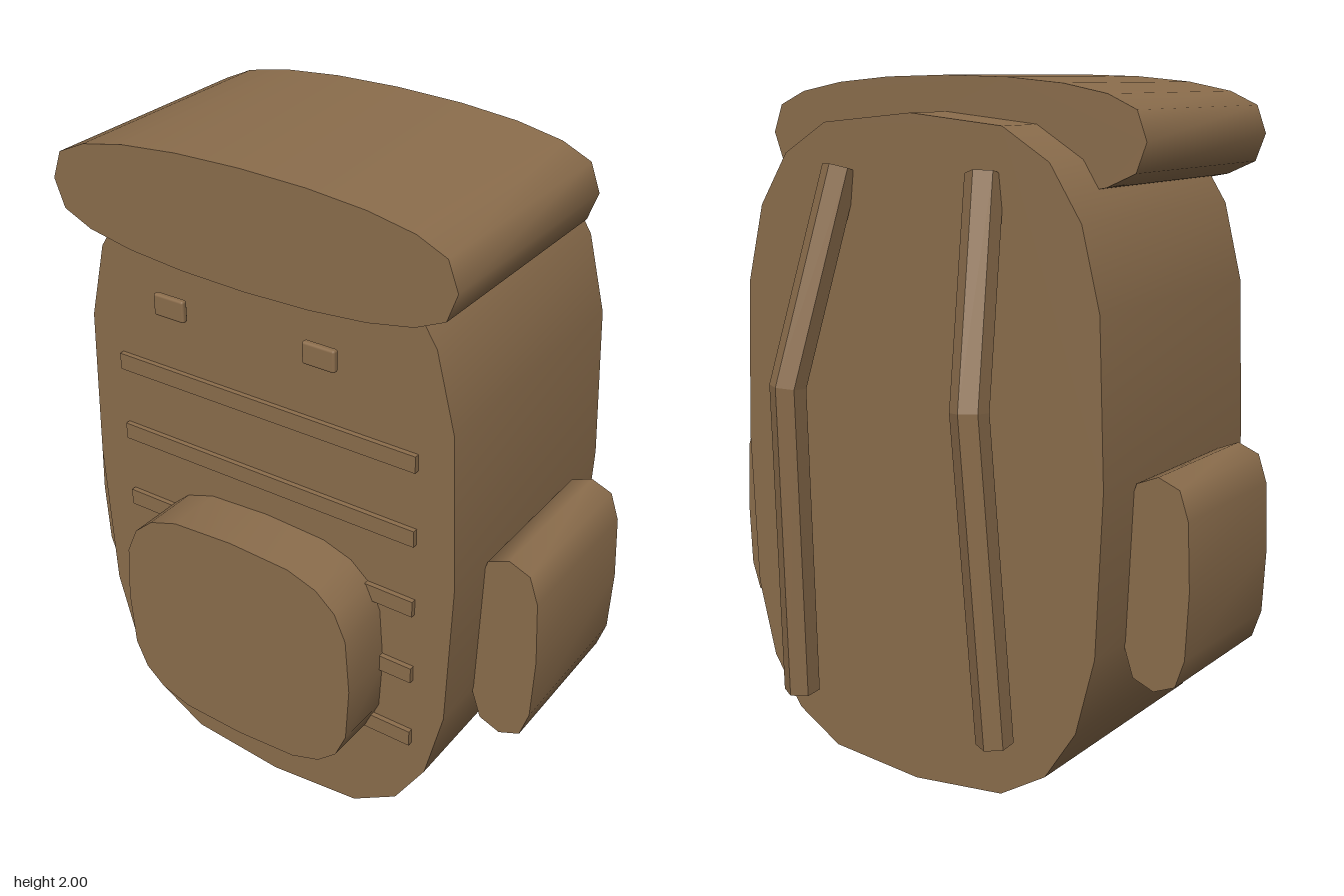
import * as THREE from 'three';
import { toCreasedNormals } from 'three/addons/utils/BufferGeometryUtils.js';
import { RoundedBoxGeometry } from 'three/addons/geometries/RoundedBoxGeometry.js';

const canvas = new THREE.MeshStandardMaterial({ color: 0x8b6d4c });
canvas.name = 'brown canvas';

// Rounded block: a superellipse outline extruded from z0 to z1
function pouch(a, b, z0, z1, segments, px, py = px) {
  const power = (v, p) => (Math.abs(v) < 1e-9 ? 0 : Math.sign(v) * Math.abs(v) ** p);
  const points = [];
  for (let i = 0; i < segments; i++) {
    const t = (i / segments) * Math.PI * 2;
    points.push(new THREE.Vector2(a * power(Math.cos(t), px), b * power(Math.sin(t), py)));
  }
  const geometry = new THREE.ExtrudeGeometry(new THREE.Shape(points), {
    depth: z1 - z0, bevelEnabled: false, steps: 1,
  });
  geometry.translate(0, 0, z0);
  return toCreasedNormals(geometry, 1.2);
}

// Six-sided bar with one mitred bend, following three points from top to bottom
function bentBar(path, radius) {
  const geometry = new THREE.CylinderGeometry(radius, radius, 2, 6, 2);
  const upper = path[0].clone().sub(path[1]).normalize();
  const lower = path[1].clone().sub(path[2]).normalize();
  const tangents = [upper, upper.clone().add(lower).normalize(), lower];
  const frames = tangents.map((up) => {
    const side = new THREE.Vector3().crossVectors(up, new THREE.Vector3(0, 0, 1)).normalize();
    return { side, depth: new THREE.Vector3().crossVectors(side, up) };
  });
  const position = geometry.attributes.position;
  for (let i = 0; i < position.count; i++) {
    const level = Math.round(1 - position.getY(i));
    const p = path[level].clone()
      .addScaledVector(frames[level].side, position.getX(i))
      .addScaledVector(frames[level].depth, position.getZ(i));
    position.setXYZ(i, p.x, p.y, p.z);
  }
  const flat = geometry.toNonIndexed();
  flat.computeVertexNormals();
  return flat;
}

export function createModel() {
  const model = new THREE.Group();
  model.name = 'backpack';
  const add = (name, geometry, x, y, z) => {
    const mesh = new THREE.Mesh(geometry, canvas);
    mesh.name = name;
    mesh.position.set(x, y, z);
    model.add(mesh);
  };

  // Main bag, top flap and front pocket
  add('body', pouch(0.61, 0.95, -0.38, 0.435, 20, 0.62), 0, 0.952, 0);
  add('topFlap', pouch(0.625, 0.166, -0.215, 0.5, 20, 0.97, 0.62), 0, 1.834, 0);
  add('frontPocket', pouch(0.39, 0.34, 0.4, 0.603, 20, 0.6), 0, 0.612, 0);

  // Webbing rows across the front
  for (let i = 0; i < 5; i++) {
    add('webbing' + (i + 1), new THREE.BoxGeometry(0.98, 0.05, 0.03), 0, 1.297 - i * 0.229, 0.435);
  }

  // Mirrored side pockets, buckles and shoulder straps
  for (const [side, s] of [['left', 1], ['right', -1]]) {
    add(side + 'SidePocket', pouch(0.1, 0.3, -0.215, 0.27, 12, 0.64), s * 0.68, 0.668, 0);
    add(side + 'Buckle', new RoundedBoxGeometry(0.1, 0.064, 0.02, 2, 0.007), s * 0.24, 1.56, 0.508);
    const path = [[0.24, 1.75, -0.38], [0.307, 1.155, -0.547], [0.342, 0.232, -0.482]]
      .map(([x, y, z]) => new THREE.Vector3(s * x, y, z));
    add(side + 'ShoulderStrap', bentBar(path, 0.052), 0, 0, 0);
  }
  return model;
}
